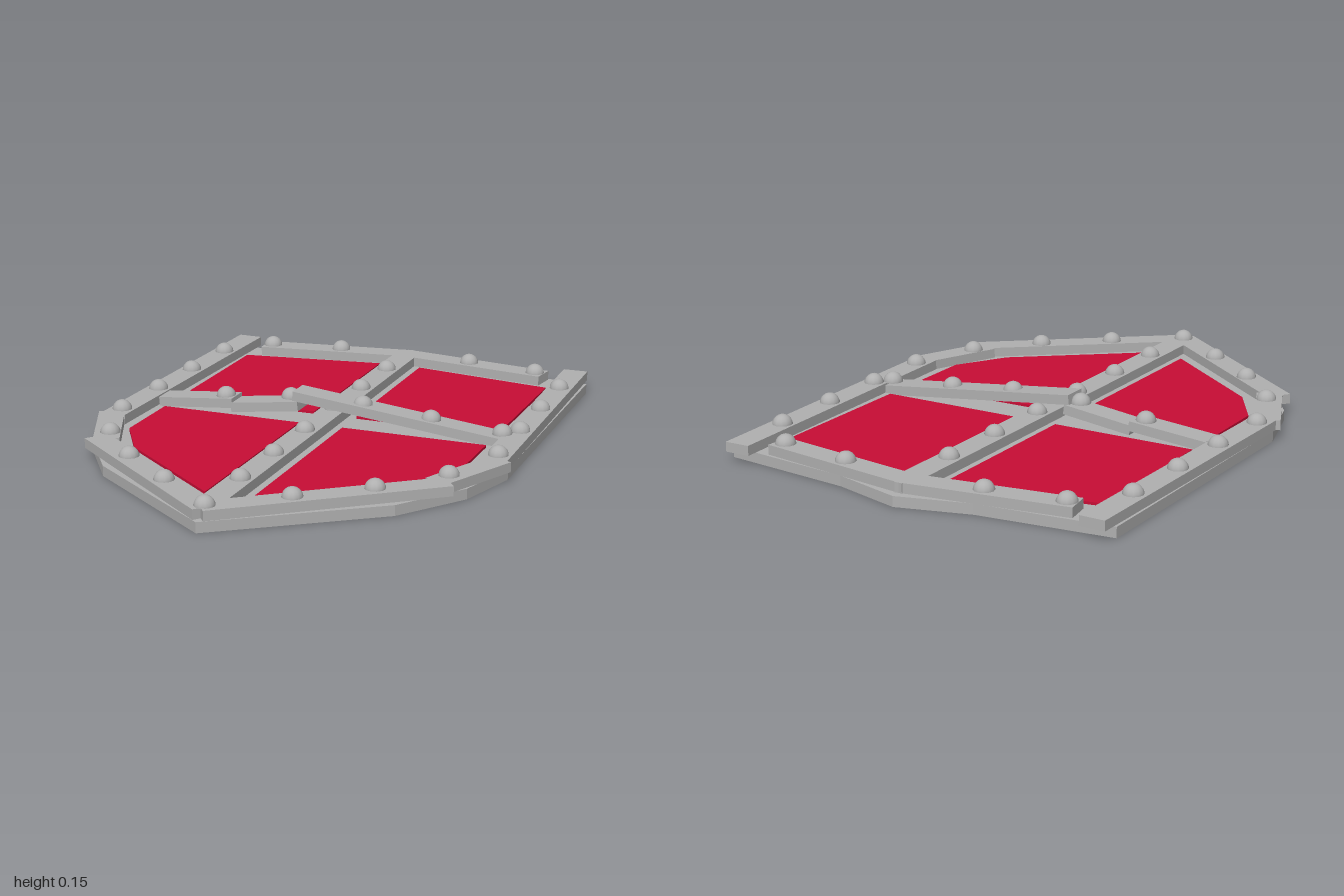
import * as THREE from 'three';

const BASE_TOP = 0.036, RIM_TOP = 0.07, BAR_WIDTH = 0.09;

// Flat slab lying on the ground plane from an outline of [x, z] points
function slab(outline, depth, y) {
  const shape = new THREE.Shape(outline.map(([x, z]) => new THREE.Vector2(x, -z)));
  const geo = new THREE.ExtrudeGeometry(shape, { depth, bevelEnabled: false });
  return geo.rotateX(-Math.PI / 2).translate(0, y, 0);
}

export function createModel() {
  const steel = new THREE.MeshStandardMaterial({ color: 0xb0b0b0 });
  steel.name = 'steel';
  const red = new THREE.MeshStandardMaterial({ color: 0xc80d35 });
  red.name = 'red paint';

  const shield = new THREE.Group();
  shield.name = 'shield';

  function add(name, geo, material) {
    const mesh = new THREE.Mesh(geo, material);
    mesh.name = name;
    shield.add(mesh);
    return mesh;
  }

  // Straight flat bar between two [x, z] points
  function bar(name, [x1, z1], [x2, z2], width = BAR_WIDTH) {
    const h = RIM_TOP - BASE_TOP;
    const geo = new THREE.BoxGeometry(Math.hypot(x2 - x1, z2 - z1), h, width);
    const mesh = add(name, geo, steel);
    mesh.position.set((x1 + x2) / 2, BASE_TOP + h / 2, (z1 + z2) / 2);
    mesh.rotation.y = -Math.atan2(z2 - z1, x2 - x1);
  }

  // Domed rivet head
  const domeGeo = new THREE.SphereGeometry(0.035, 12, 6, 0, Math.PI * 2, 0, Math.PI / 2);
  function rivet(x, z, y = RIM_TOP) {
    add('rivet', domeGeo, steel).position.set(x, y - 0.002, z);
  }

  // Backing plate
  const half = [[0, -1], [0.25, -0.93], [0.72, -0.88], [0.735, 0.17], [0.67, 0.4], [0.51, 0.63], [0, 1]];
  const mirrored = half.slice(1, -1).reverse().map(([x, z]) => [-x, z]);
  add('backingPlate', slab([...half, ...mirrored], BASE_TOP, 0), steel);

  for (const s of [-1, 1]) {
    const m = ([x, z]) => [s * x, z];

    // Painted panels
    const upper = [[0.08, -0.83], [0.6, -0.75], [0.6, -0.16], [0.08, -0.16]];
    const lower = [[0.08, -0.02], [0.6, -0.02], [0.6, 0.26], [0.49, 0.44], [0.08, 0.76]];
    add('upperPanel', slab(upper.map(m), 0.009, BASE_TOP), red);
    add('lowerPanel', slab(lower.map(m), 0.009, BASE_TOP), red);

    // Rim bars
    bar('topRim', m([0.565, -0.84]), m([-0.02, -0.925]));
    bar('sideRim', m([0.664, -0.93]), m([0.692, 0.2]));
    bar('shoulderRim', m([0.71, 0.175]), m([0.585, 0.46]));
    bar('lowerRim', m([0.625, 0.45]), m([-0.01, 0.95]));

    // Rim rivets
    const points = [[0.26, -0.885], [0.53, -0.845], [0.668, -0.685], [0.677, -0.41], [0.683, -0.14],
      [0.69, 0.135], [0.605, 0.39], [0.43, 0.595], [0.22, 0.765]];
    points.forEach(([x, z]) => rivet(s * x, z));
  }

  // Centre bar and its rivets
  bar('centreBar', [0, -0.96], [0, 0.96]);
  for (let i = 0; i < 7; i++) rivet(0, -0.685 + i * 0.27);

  // Bent cross bar in three sloping pieces: [x1, top1, x2, top2]
  const pieces = [[-0.635, 0.068, -0.35, 0.093], [-0.355, 0.078, -0.1, 0.11], [-0.115, 0.146, 0.65, 0.062]];
  for (const [x1, y1, x2, y2] of pieces) {
    const geo = new THREE.BoxGeometry(Math.hypot(x2 - x1, y2 - y1), 0.034, BAR_WIDTH);
    geo.translate(0, -0.017, 0);
    const mesh = add('crossBar', geo, steel);
    mesh.position.set((x1 + x2) / 2, (y1 + y2) / 2, -0.09);
    mesh.rotation.z = Math.atan2(y2 - y1, x2 - x1);
  }
  for (const [x, y] of [[-0.39, 0.09], [-0.14, 0.113], [0.13, 0.113], [0.38, 0.09], [0.635, 0.07]]) {
    rivet(x, -0.09, y);
  }

  return shield;
}
